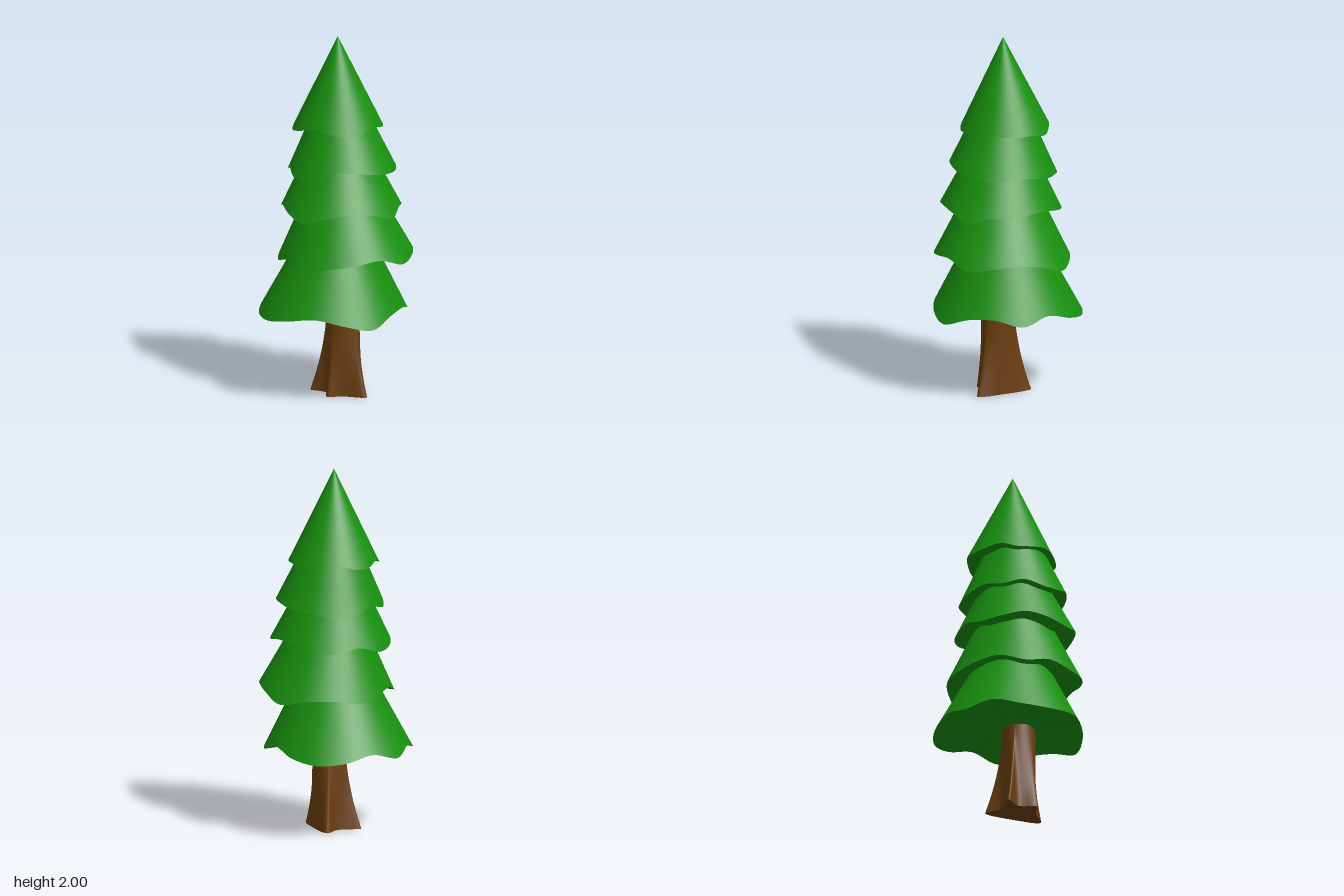
import * as THREE from 'three';

const SEG = 96;
const V = (x, y, z) => new THREE.Vector3(x, y, z);

// Skin a stack of closed rings, smooth around the seam
function loft(rings, material, name) {
  const pos = [], index = [];
  rings.forEach(ring => ring.forEach(p => pos.push(p.x, p.y, p.z)));
  const n = rings[0].length;
  for (let i = 0; i < rings.length - 1; i++) {
    for (let j = 0; j < n; j++) {
      const a = i * n + j, b = i * n + (j + 1) % n;
      index.push(a, a + n, b, b, a + n, b + n);
    }
  }
  const geo = new THREE.BufferGeometry();
  geo.setAttribute('position', new THREE.Float32BufferAttribute(pos, 3));
  geo.setIndex(index);
  geo.computeVertexNormals();
  const mesh = new THREE.Mesh(geo, material);
  mesh.name = name;
  return mesh;
}

// Smooth closed ring through a few points
const closedRing = points =>
  new THREE.CatmullRomCurve3(points, true, 'centripetal').getPoints(SEG).slice(0, SEG);

// Each tier: apex height, hem height, hem radius, hem centre, and the hem's
// rise and fall in hundredths at 16 angles running from +x towards +z
const TIERS = [
  { apex: 2.0, hem: 1.495, r: 0.245, cx: 0.012, cz: 0,
    wave: [-1.5, 0, 0, 0.5, 2, 0, -1, 1, 2, 0, -1.5, 1, -1, -1, 1.5, 1] },
  { apex: 1.9, hem: 1.265, r: 0.295, cx: 0.003, cz: 0.036,
    wave: [-1.5, 0.5, 1, 0, 0.5, 2, 3.5, 3, -1, -2, 1, -2, 0, -3, -4, -2] },
  { apex: 1.7, hem: 1.045, r: 0.333, cx: -0.005, cz: 0.035,
    wave: [2, 3, 1, 2, -1.5, 2, 3, 1, -3, 0, 2, -1, -2.5, 1, -1.5, -0.5] },
  { apex: 1.52, hem: 0.78, r: 0.372, cx: 0.02, cz: 0.055,
    wave: [-3.5, 1, 3, 1.5, -0.5, 3.5, 2, 0, -2, 1, -2, 2, 0, -2.5, -0.5, -1] },
  { apex: 1.24, hem: 0.465, r: 0.402, cx: 0, cz: -0.025,
    wave: [-1, 3, -1, 2.5, 1.5, -3.5, -0.5, 2.5, 0.5, -2, -1.5, 2, -2, 1.5, -2, -3.5] },
];

function makeTier(t, material) {
  const group = new THREE.Group();
  const slope = t.r / (t.apex - t.hem);
  const hem = closedRing(t.wave.map((w, i) => {
    const a = i / t.wave.length * Math.PI * 2, dy = w / 100;
    const r = t.r - dy * slope;
    return V(t.cx + Math.cos(a) * r, t.hem + dy, t.cz + Math.sin(a) * r);
  }));
  const apex = V(0, t.apex, 0.005);
  const centre = V(t.cx, t.hem + 0.035, t.cz);
  const towards = (p, k) => hem.map(h => h.clone().lerp(p, k));
  group.add(loft([0, 0.25, 0.5, 0.75, 0.999].map(k => towards(apex, k)), material, 'needleCone'));
  group.add(loft([0.999, 0.5, 0].map(k => towards(centre, k)), material, 'underside'));
  return group;
}

// Trunk: root-shaped base blending up into a round stem
function makeTrunk(material) {
  const group = new THREE.Group();
  const cx = -0.01, cz = 0.048, stem = 0.09, top = 0.54;
  const base = closedRing([
    [-0.03, 0.22], [0.06, 0.11], [0.14, -0.06], [0.035, -0.05],
    [-0.07, -0.13], [-0.065, -0.03], [-0.142, 0.04], [-0.085, 0.1],
  ].reverse().map(([x, z]) => V(x, 0, z)));
  base.reverse(); // run from +x towards +z
  if (signedArea(base) < 0) base.reverse();
  const rings = [];
  for (let i = 0; i <= 10; i++) {
    const k = i / 10, flare = (1 - k) ** 2;
    rings.push(base.map(p => {
      const a = Math.atan2(p.z - cz, p.x - cx);
      const round = V(cx + Math.cos(a) * stem, 0, cz + Math.sin(a) * stem);
      return round.lerp(p, flare).setY(k * top);
    }));
  }
  group.add(loft(rings, material, 'trunkSide'));
  const foot = base.map(p => p.clone().lerp(V(cx, 0, cz), 0.999));
  group.add(loft([foot, base], material, 'trunkFoot'));
  return group;
}

// Positive when the ring turns from +x towards +z
function signedArea(ring) {
  return ring.reduce((sum, p, i) => {
    const q = ring[(i + 1) % ring.length];
    return sum + p.x * q.z - q.x * p.z;
  }, 0);
}

export function createModel() {
  const tree = new THREE.Group();
  tree.name = 'pineTree';
  const green = new THREE.MeshStandardMaterial({ color: 0x18900f });
  const brown = new THREE.MeshStandardMaterial({ color: 0x6b3e10 });
  TIERS.forEach((t, i) => {
    const tier = makeTier(t, green);
    tier.name = `foliageTier${i + 1}`;
    tree.add(tier);
  });
  const trunk = makeTrunk(brown);
  trunk.name = 'trunk';
  tree.add(trunk);
  return tree;
}
